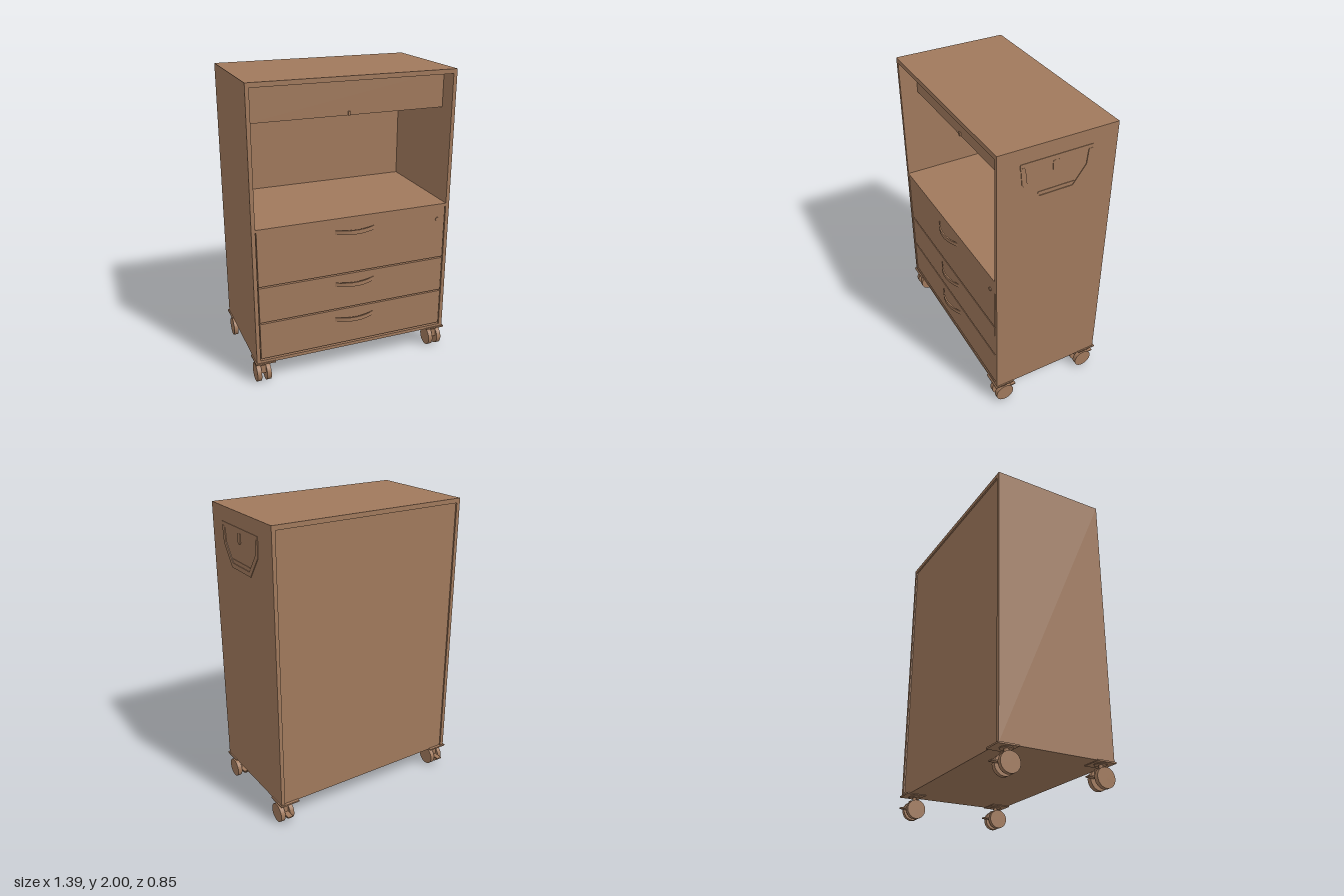
import * as THREE from 'three';

export function createModel() {
  const root = new THREE.Group();
  root.name = 'drawerCart';
  const brown = new THREE.MeshStandardMaterial({ color: 0xa0795c });
  brown.name = 'warm brown';

  function add(name, geometry, parent = root) {
    const mesh = new THREE.Mesh(geometry, brown);
    mesh.name = name;
    parent.add(mesh);
    return mesh;
  }
  // Box given by its limits on each axis
  function box(name, x0, x1, y0, y1, z0, z1, parent) {
    const g = new THREE.BoxGeometry(x1 - x0, y1 - y0, z1 - z0);
    g.translate((x0 + x1) / 2, (y0 + y1) / 2, (z0 + z1) / 2);
    return add(name, g, parent);
  }

  // Carcass
  const W = 0.686, I = 0.661, F = 0.38, B = -0.4;
  box('leftSide', I, W, 0.16, 2, B, F);
  box('rightSide', -W, -I, 0.16, 2, B, F);
  box('topPanel', -I, I, 1.97, 2, B, F);
  box('bottomPanel', -I, I, 0.16, 0.183, B + 0.01, F);
  box('backPanel', -I, I, 0.183, 1.97, B + 0.01, B + 0.025);
  box('nicheFloor', -I, I, 1.085, 1.105, B + 0.025, F);

  // Panel hanging inside the niche, with a small catch
  box('headerPanel', -I, I, 1.735, 1.97, 0.24, 0.26);
  box('headerCatch', -0.008, 0.008, 1.735, 1.76, 0.26, 0.268);

  // Drawers with bowed handles
  const bow = new THREE.Shape();
  const arc = (r, n, reverse) => Array.from({ length: n + 1 }, (_, i) => {
    const t = (reverse ? 1 - i / n : i / n) * 2 - 1;
    return new THREE.Vector2(t * (0.14 - r), (0.042 - r) * (1 - t * t));
  });
  bow.setFromPoints([...arc(0, 20, false), ...arc(0.011, 20, true)]);
  const drawers = [[0.195, 0.45, 0.38], [0.46, 0.705, 0.64], [0.715, 1.085, 1.01]];
  for (const [y0, y1, hy] of drawers) {
    const drawer = new THREE.Group();
    drawer.name = 'drawer';
    root.add(drawer);
    box('drawerFront', -0.655, 0.655, y0, y1, F - 0.022, F - 0.002, drawer);
    box('drawerBox', -0.63, 0.63, y0 + 0.02, y1 - 0.03, B + 0.05, F - 0.022, drawer);
    const g = new THREE.ExtrudeGeometry(bow, { depth: 0.028, bevelEnabled: false });
    g.rotateX(Math.PI / 2);
    g.translate(0, hy + 0.014, F - 0.002);
    add('drawerHandle', g, drawer);
  }
  const lock = new THREE.CylinderGeometry(0.013, 0.013, 0.008, 20);
  lock.rotateX(Math.PI / 2);
  add('drawerLock', lock).position.set(0.6, 1.0, F);

  // Folding carry handle on the left side
  const carry = new THREE.Group();
  carry.name = 'carryHandle';
  root.add(carry);
  const outline = [[-0.235, 1.88], [-0.225, 1.77], [-0.125, 1.635],
    [0.125, 1.635], [0.225, 1.77], [0.235, 1.88]];
  const inner = [[-0.205, 1.88], [-0.195, 1.78], [-0.11, 1.665],
    [0.11, 1.665], [0.195, 1.78], [0.205, 1.88]];
  const points = [...outline, ...inner.reverse()].map(([a, b]) => new THREE.Vector2(a, b));
  const frame = new THREE.ExtrudeGeometry(new THREE.Shape(points), { depth: 0.005, bevelEnabled: false });
  frame.rotateY(Math.PI / 2);
  frame.translate(W - 0.0005, 0, 0);
  add('carryFrame', frame, carry);
  box('carryHinge', W - 0.005, W + 0.003, 1.872, 1.904, -0.232, 0.237, carry);
  box('carryGrip', W - 0.005, W + 0.003, 1.68, 1.692, -0.12, 0.12, carry);
  box('carryCatch', W - 0.005, W + 0.004, 1.82, 1.872, -0.008, 0.028, carry);
  const knob = new THREE.CylinderGeometry(0.018, 0.018, 0.008, 20);
  knob.rotateZ(Math.PI / 2);
  add('carryCatchEnd', knob, carry).position.set(W, 1.82, 0.01);

  // Corner plates and twin wheel casters
  for (const sx of [-1, 1]) {
    for (const [wz, pz] of [[0.315, 0.322], [-0.325, -0.342]]) {
      const caster = new THREE.Group();
      caster.name = 'caster';
      caster.position.set(sx * 0.637, 0, wz);
      root.add(caster);

      const plate = new THREE.BoxGeometry(0.135, 0.01, 0.135);
      add('cornerPlate', plate, caster).position.set(sx * -0.01, 0.16, pz - wz);
      const stem = new THREE.CylinderGeometry(0.014, 0.014, 0.05, 16);
      add('casterStem', stem, caster).position.y = 0.138;
      const collar = new THREE.CylinderGeometry(0.04, 0.04, 0.008, 20);
      add('casterCollar', collar, caster).position.y = 0.153;

      for (const side of [-1, 1]) {
        const wheel = new THREE.CylinderGeometry(0.064, 0.064, 0.03, 32);
        wheel.rotateZ(Math.PI / 2);
        add('wheel', wheel, caster).position.set(side * 0.033, 0.064, 0);
      }
      // Half round hood between the wheels
      const hood = new THREE.CylinderGeometry(0.06, 0.06, 0.038, 24, 1, false, -Math.PI / 2, Math.PI);
      hood.rotateZ(Math.PI / 2);
      hood.rotateX(0);
      const bridge = new THREE.BoxGeometry(0.038, 0.058, 0.07);
      add('casterBridge', bridge, caster).position.y = 0.096;
      const axle = new THREE.CylinderGeometry(0.008, 0.008, 0.07, 12);
      axle.rotateZ(Math.PI / 2);
      add('axle', axle, caster).position.y = 0.068;
      box('brakeTab', -0.018, 0.018, 0.066, 0.074, -0.1, -0.03, caster);
    }
  }
  return root;
}
